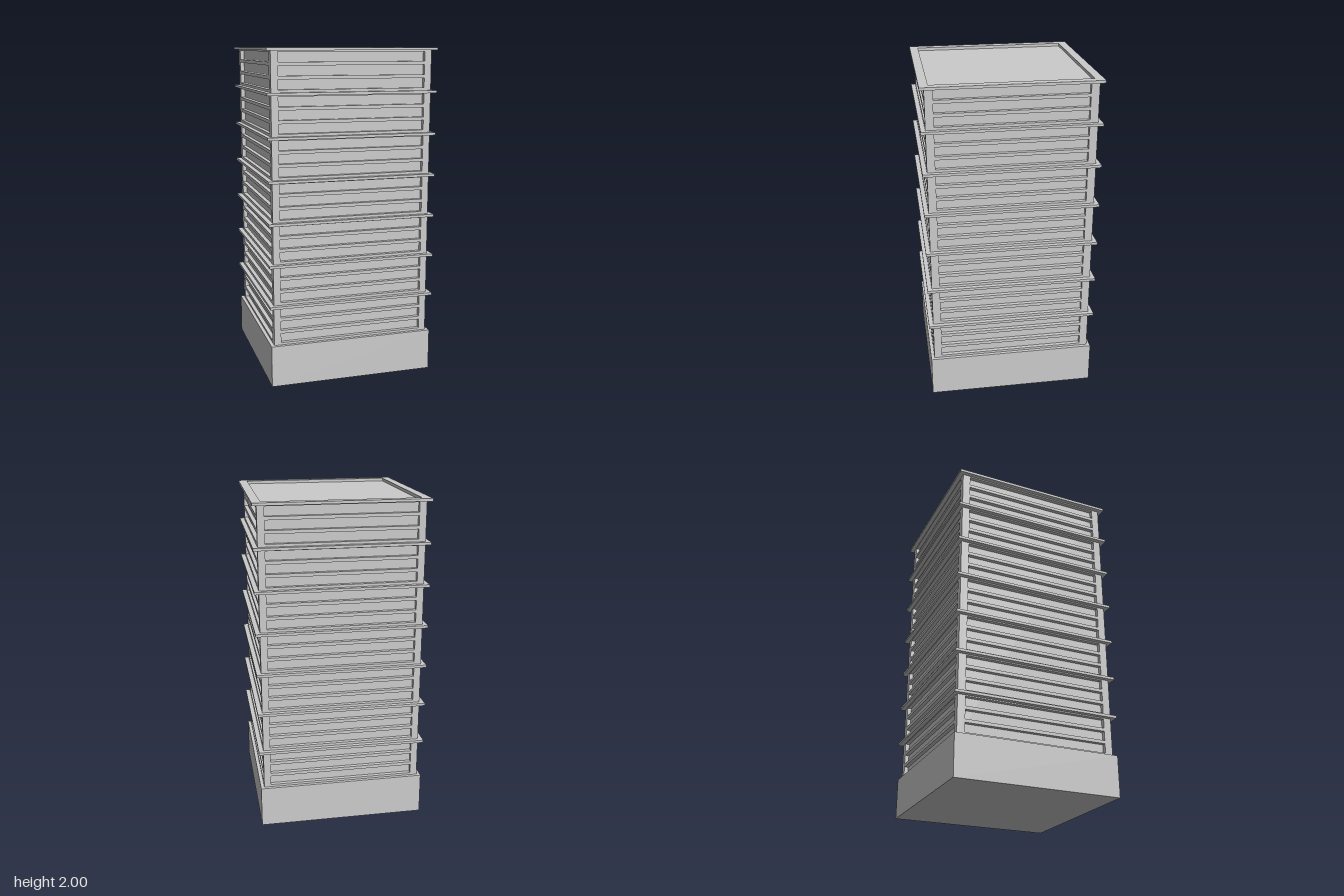
import * as THREE from 'three';

const HX = 0.485, HZ = 0.491;      // half size of the outer walls
const DEPTH = 0.025;               // depth of the window bands
const FLOOR = 0.25, STOREYS = 7, SLAB = 0.016;

// Adds a rectangle to a shape or path
function rect(path, x0, y0, x1, y1) {
  path.moveTo(x0, y0);
  path.lineTo(x1, y0);
  path.lineTo(x1, y1);
  path.lineTo(x0, y1);
  path.closePath();
  return path;
}

// Wall sheet pierced by three long window bands per storey
function wallGeometry(half) {
  const shape = rect(new THREE.Shape(), -half, FLOOR, half, 2 - SLAB);
  for (let s = 1; s <= STOREYS; s++) {
    for (let i = 0; i < 3; i++) {
      const y = s * FLOOR + 0.016 + i * 0.077;
      shape.holes.push(rect(new THREE.Path(), -0.443, y, 0.443, y + 0.057));
    }
  }
  return new THREE.ExtrudeGeometry(shape, { depth: DEPTH, bevelEnabled: false });
}

export function createModel() {
  const group = new THREE.Group();
  const material = new THREE.MeshStandardMaterial({ color: 0xcccccc, flatShading: true });

  function add(name, geometry, x = 0, y = 0, z = 0) {
    const mesh = new THREE.Mesh(geometry, material);
    mesh.name = name;
    mesh.position.set(x, y, z);
    group.add(mesh);
    return mesh;
  }
  const box = (name, w, h, d, y0) => add(name, new THREE.BoxGeometry(w, h, d), 0, y0 + h / 2, 0);

  // Podium and glazed core, whose top is the sunken roof
  box('podium', 1.012, 0.252, 1.022, 0);
  const cx = HX - DEPTH, cz = HZ - DEPTH;
  box('glazedCore', 2 * cx, 1.982 - FLOOR, 2 * cz, FLOOR);

  // Four walls: front and back cover the corners, sides fit between them
  const frontGeometry = wallGeometry(HX), sideGeometry = wallGeometry(cz);
  add('frontWall', frontGeometry, 0, 0, cz);
  add('backWall', frontGeometry, 0, 0, -cz).rotation.y = Math.PI;
  add('leftWall', sideGeometry, cx, 0, 0).rotation.y = Math.PI / 2;
  add('rightWall', sideGeometry, -cx, 0, 0).rotation.y = -Math.PI / 2;

  // Projecting ledges between storeys
  const LX = 0.513, LZ = 0.518;
  for (let s = 2; s <= STOREYS; s++) box('floorLedge', 2 * LX, SLAB, 2 * LZ, s * FLOOR - SLAB);

  // Open rim around the roof
  const rim = rect(new THREE.Shape(), -LX, -LZ, LX, LZ);
  rim.holes.push(rect(new THREE.Path(), -cx, -cz, cx, cz));
  const rimGeometry = new THREE.ExtrudeGeometry(rim, { depth: SLAB, bevelEnabled: false });
  rimGeometry.rotateX(-Math.PI / 2);
  add('roofRim', rimGeometry, 0, 2 - SLAB, 0);

  return group;
}
